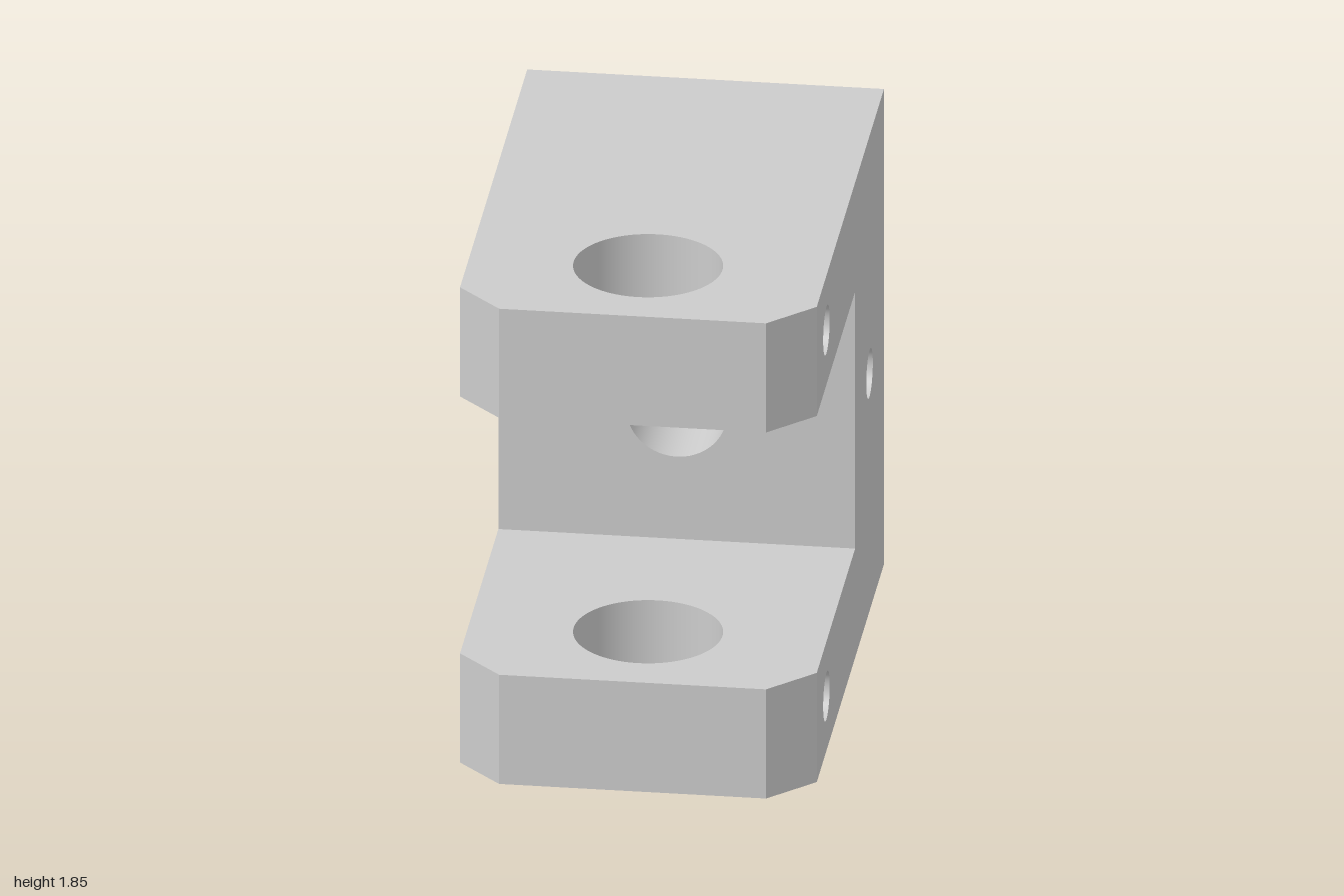
import * as THREE from 'three';
import { ParametricGeometry } from 'three/addons/geometries/ParametricGeometry.js';

const W = 0.635, H = 1.85, ARM = 0.425, SLOT_Z = -0.21, CH = 0.16;
const MID = H / 2, PIN_Z = 0.575, BACK_Z = (SLOT_Z - 1) / 2;
const PIN_R = 0.265, BACK_R = 0.18, SCREW_R = 0.09;
const SEG = 96;

const material = new THREE.MeshStandardMaterial({ color: 0xcccccc });
const V = (x, y, z) => new THREE.Vector3(x, y, z);

// Flat face: 2D outline and [x, y, r] holes laid on the directions u and v
function face(name, points, holes, origin, u, v) {
  const shape = new THREE.Shape(points.map(p => new THREE.Vector2(...p)));
  for (const [x, y, r] of holes) {
    shape.holes.push(new THREE.Path().absarc(x, y, r, 0, Math.PI * 2, true));
  }
  const geometry = new THREE.ShapeGeometry(shape, SEG / 2);
  u.normalize();
  const basis = new THREE.Matrix4().makeBasis(u, v, u.clone().cross(v)).setPosition(origin);
  const mesh = new THREE.Mesh(geometry.applyMatrix4(basis), material);
  mesh.name = name;
  return mesh;
}

const rect = (x0, x1, y0, y1) => [[x0, y0], [x1, y0], [x1, y1], [x0, y1]];

// Bore along local y, crossed by a screw hole that runs out to the +x side
function crossedBore(name, R, height) {
  const group = new THREE.Group();
  group.name = name;
  const A = 0.8, r = SCREW_R, lerp = THREE.MathUtils.lerp;
  const add = (part, fn, slices, stacks) => {
    const mesh = new THREE.Mesh(new ParametricGeometry(fn, slices, stacks), material);
    mesh.name = part;
    group.add(mesh);
  };
  const onWall = (a, y, target) => target.set(R * Math.cos(a), y, R * Math.sin(a));

  // plain part of the wall
  add('boreWall', (u, v, p) => onWall(lerp(A, 2 * Math.PI - A, u), (v - 0.5) * height, p), SEG, 1);

  // wall patch around the screw hole, spreading from its rim to a rectangle
  add('boreWallAroundScrewHole', (u, v, p) => {
    const t = v * 2 * Math.PI, c = Math.cos(t), s = Math.sin(t);
    const m = Math.max(Math.abs(c), Math.abs(s));
    onWall(lerp(Math.asin(r * c / R), A * c / m, u), lerp(r * s, height / 2 * s / m, u), p);
  }, 12, SEG);

  // screw hole wall from the bore to the side face
  add('screwHoleWall', (u, v, p) => {
    const t = u * 2 * Math.PI, z = r * Math.cos(t);
    p.set(lerp(Math.sqrt(R * R - z * z), W, v), r * Math.sin(t), z);
  }, SEG, 1);
  return group;
}

export function createModel() {
  const model = new THREE.Group();
  model.name = 'clevisBlock';
  const X = () => V(1, 0, 0), Y = V(0, 1, 0), Z = () => V(0, 0, 1);

  // C-shaped sides, the +x one with screw holes
  const side = s => [[-1, 0], [1 - CH, 0], [1 - CH, ARM], [SLOT_Z, ARM],
    [SLOT_Z, H - ARM], [1 - CH, H - ARM], [1 - CH, H], [-1, H]].map(([z, y]) => [s * z, y]);
  const screws = [[-PIN_Z, ARM / 2, SCREW_R], [-PIN_Z, H - ARM / 2, SCREW_R], [-BACK_Z, MID, SCREW_R]];
  model.add(
    face('leftSide', side(-1), screws, V(W, 0, 0), V(0, 0, -1), Y),
    face('rightSide', side(1), [], V(-W, 0, 0), Z(), Y));

  // horizontal faces with chamfered front corners
  const plan = (back, s) => [[-W, back], [W, back], [W, 1 - CH], [W - CH, 1],
    [CH - W, 1], [-W, 1 - CH]].map(([x, z]) => [x, s * z]);
  const up = (name, y, back) => face(name, plan(back, -1), [[0, -PIN_Z, PIN_R]], V(0, y, 0), X(), V(0, 0, -1));
  const down = (name, y, back) => face(name, plan(back, 1), [[0, PIN_Z, PIN_R]], V(0, y, 0), X(), Z());
  model.add(up('top', H, -1), down('upperArmUnderside', H - ARM, SLOT_Z),
    up('lowerArmTop', ARM, SLOT_Z), down('bottom', 0, -1));

  // back face and slot wall
  const bore = [[0, MID, BACK_R]];
  model.add(
    face('back', rect(-W, W, 0, H), bore, V(0, 0, -1), V(-1, 0, 0), Y),
    face('slotWall', rect(-W, W, ARM, H - ARM), bore, V(0, 0, SLOT_Z), X(), Y));

  // arm ends with chamfers, and pin bores
  const half = CH * Math.SQRT1_2;
  for (const [name, y] of [['lowerArm', 0], ['upperArm', H - ARM]]) {
    model.add(face(name + 'Front', rect(CH - W, W - CH, 0, ARM), [], V(0, y, 1), X(), Y));
    for (const s of [-1, 1]) {
      model.add(face(name + 'Chamfer', rect(-half, half, 0, ARM), [],
        V(s * (W - CH / 2), y, 1 - CH / 2), V(1, 0, -s), Y));
    }
    const pin = crossedBore(name + 'PinBore', PIN_R, ARM);
    pin.position.set(0, y + ARM / 2, PIN_Z);
    model.add(pin);
  }

  // bore through the back wall
  const backBore = crossedBore('backBore', BACK_R, SLOT_Z + 1);
  backBore.rotation.x = Math.PI / 2;
  backBore.position.set(0, MID, BACK_Z);
  model.add(backBore);
  return model;
}
